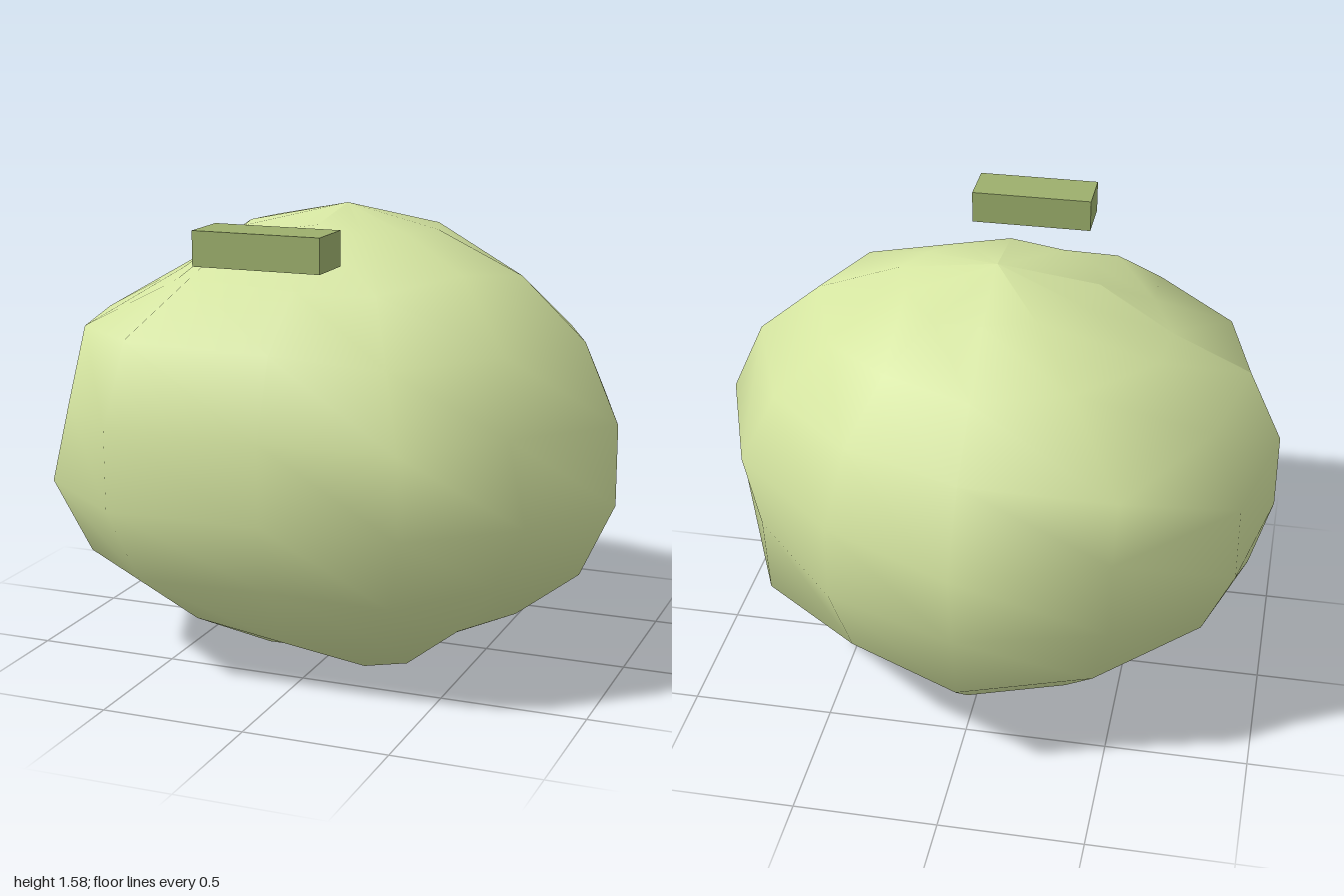
import * as THREE from 'three';

const COLUMNS = 12, ROWS = 9;

// Widest outline (x, z), one point per column, starting at -x and passing the front
const OUTLINE = [
  [-1, 0.19], [-0.89, 0.6], [-0.54, 0.87], [0, 0.86], [0.47, 0.85], [0.8, 0.57],
  [1, 0.2], [0.83, -0.29], [0.44, -0.65], [-0.02, -0.87], [-0.52, -0.69], [-0.9, -0.29],
];
// Height of each ring, top pole to bottom pole
const HEIGHTS = [1.58, 1.51, 1.38, 1.18, 0.915, 0.64, 0.38, 0.2, 0.05, 0.045];

// Local bumps and dips: [row, column, width scale, height offset]
const LUMPS = [
  [1, 3, 1, 0.03], [1, 8, 1.1, -0.03], [1, 9, 0.88, -0.02],
  [2, 0, 0.92, -0.05], [2, 1, 0.88, -0.05], [2, 3, 0.94, -0.03], [2, 4, 0.92, -0.03],
  [2, 5, 1, 0.03], [2, 7, 0.98, -0.04], [2, 9, 0.85, -0.05],
  [3, 2, 1.04, 0.02], [3, 4, 0.91, -0.04], [3, 7, 0.98, -0.03], [3, 9, 0.92, -0.02], [3, 10, 1.17, -0.01],
  [4, 1, 0.94, 0], [4, 5, 0.91, 0], [5, 7, 0.94, 0], [5, 9, 0.95, 0],
  [6, 0, 1.05, 0], [6, 3, 1.04, 0.02], [6, 5, 0.96, 0.02], [6, 7, 1.05, -0.02],
  [7, 3, 1.1, -0.03], [8, 4, 1.05, -0.04], [8, 5, 1.05, -0.05], [8, 9, 0.9, 0],
];

// Rounded lumpy body: a coarse sphere fitted to the outline and then dented
function makeBody() {
  const geometry = new THREE.SphereGeometry(1, COLUMNS, ROWS);
  const position = geometry.attributes.position;
  const centre = { x: -0.01, z: 0.05 };
  const widest = Math.sin((4 * Math.PI) / ROWS);
  for (let row = 0; row <= ROWS; row++) {
    const spread = Math.sin((row * Math.PI) / ROWS) / widest;
    for (let i = 0; i <= COLUMNS; i++) {
      const column = i % COLUMNS;
      const lump = LUMPS.find(([r, c]) => r === row && c === column);
      const scale = spread * (lump ? lump[2] : 1);
      const [x, z] = OUTLINE[column];
      position.setXYZ(
        row * (COLUMNS + 1) + i,
        centre.x + (x - centre.x) * scale,
        HEIGHTS[row] + (lump ? lump[3] : 0),
        centre.z + (z - centre.z) * scale,
      );
    }
  }
  geometry.computeVertexNormals();
  return geometry;
}

export function createModel() {
  const model = new THREE.Group();
  model.name = 'lumpyBoulder';

  const body = new THREE.Mesh(makeBody(), new THREE.MeshStandardMaterial({ color: 0xd4e4a0 }));
  body.name = 'body';
  model.add(body);

  // Small block floating in front of the upper body
  const block = new THREE.Mesh(
    new THREE.BoxGeometry(0.435, 0.115, 0.175),
    new THREE.MeshStandardMaterial({ color: 0x9caf6c }),
  );
  block.name = 'floatingBlock';
  block.position.set(-0.03, 1.513, 0.7);
  model.add(block);

  return model;
}
